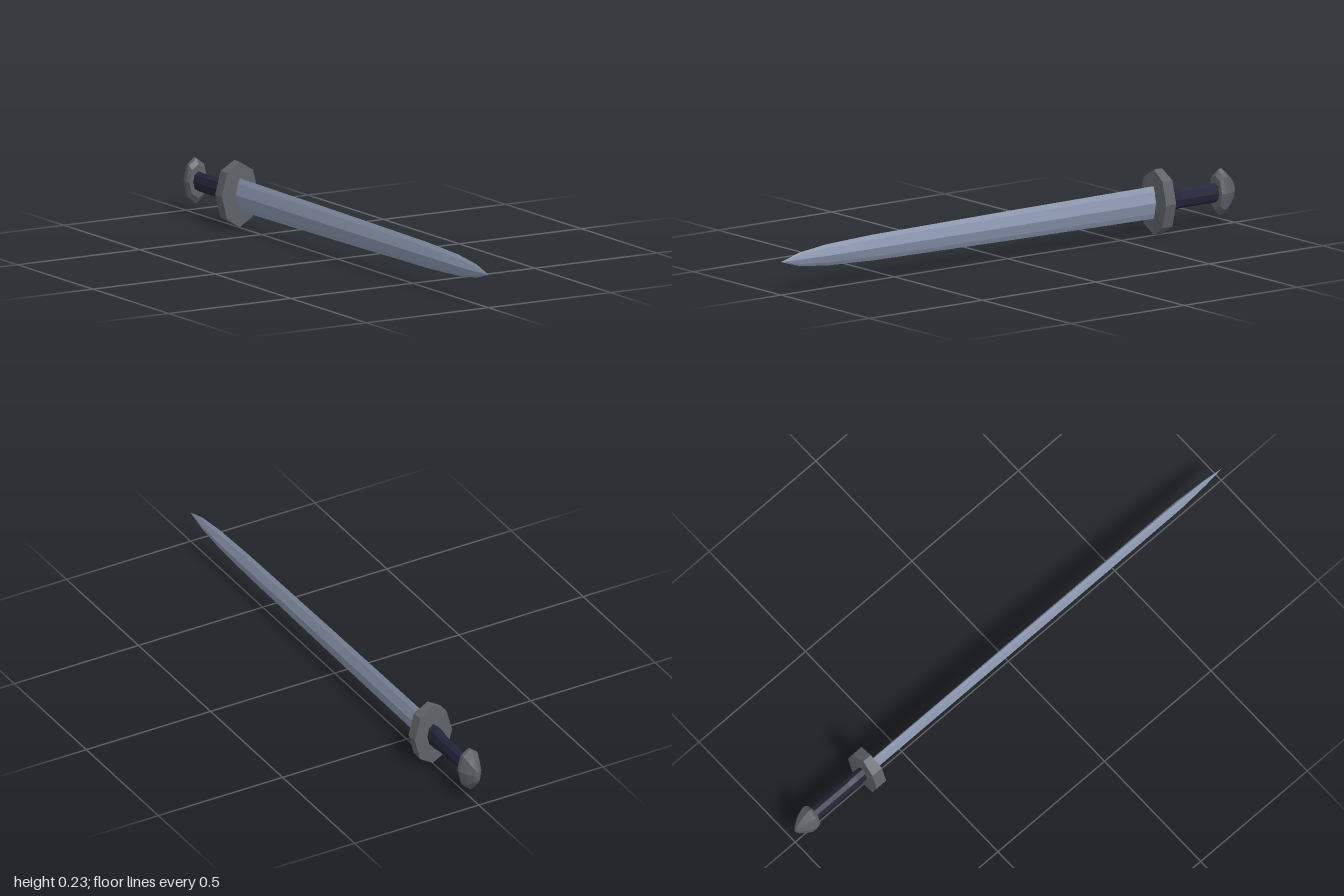
import * as THREE from 'three';

const CENTRE_Y = 0.117;

// Unit outlines, counter-clockwise seen from +z
const octagon = Array.from({ length: 8 }, (_, i) => [Math.cos(i * Math.PI / 4), Math.sin(i * Math.PI / 4)]);
const lens = [[1, 0], [0.45, 0.68], [0, 1], [-0.45, 0.68], [-1, 0], [-0.45, -0.68], [0, -1], [0.45, -0.68]];

// Lofts an outline through sections [z, halfWidth, halfHeight], in rising z, with closed ends
function loft(name, outline, sections, color) {
  const n = outline.length, positions = [], index = [];
  for (const [z, w, h] of sections) {
    for (const [x, y] of outline) positions.push(x * w, y * h, z);
  }
  for (let s = 0; s < sections.length - 1; s++) {
    for (let i = 0; i < n; i++) {
      const a = s * n + i, b = s * n + (i + 1) % n;
      index.push(a, b, b + n, a, b + n, a + n);
    }
  }
  const last = (sections.length - 1) * n, back = sections.length * n, front = back + 1;
  positions.push(0, 0, sections[0][0], 0, 0, sections[sections.length - 1][0]);
  for (let i = 0; i < n; i++) {
    const j = (i + 1) % n;
    index.push(back, j, i, front, last + i, last + j);
  }
  const geometry = new THREE.BufferGeometry();
  geometry.setAttribute('position', new THREE.Float32BufferAttribute(positions, 3));
  geometry.setIndex(index);
  geometry.computeVertexNormals();
  const mesh = new THREE.Mesh(geometry, new THREE.MeshStandardMaterial({ color, flatShading: true }));
  mesh.name = name;
  mesh.position.y = CENTRE_Y;
  return mesh;
}

export function createModel() {
  const group = new THREE.Group();
  group.name = 'sword';

  // Blade narrowing gently, then curving in to the point
  group.add(loft('blade', lens, [
    [-0.65, 0.018, 0.058], [0, 0.018, 0.053], [0.6, 0.017, 0.046],
    [0.8, 0.016, 0.038], [0.92, 0.009, 0.024], [1, 0.0005, 0.0005],
  ], 0x8c97b0));

  // Octagonal guard plate, slightly thinner at its top and bottom points
  const guard = loft('guard', octagon, [[-0.685, 0.075, 0.117], [-0.641, 0.075, 0.117]], 0x5f6267);
  const p = guard.geometry.attributes.position;
  for (let i = 0; i < p.count; i++) {
    if (Math.abs(p.getY(i)) > 0.1) p.setZ(i, -0.663 + (p.getZ(i) + 0.663) * 0.8);
  }
  guard.geometry.computeVertexNormals();
  group.add(guard);

  // Grip, flared where it meets the guard
  group.add(loft('grip', octagon, [
    [-0.93, 0.022, 0.035], [-0.755, 0.022, 0.035], [-0.72, 0.024, 0.043], [-0.68, 0.024, 0.044],
  ], 0x23263a));

  // Flattened domed pommel
  group.add(loft('pommel', octagon, [
    [-1, 0.003, 0.015], [-0.99, 0.014, 0.036], [-0.965, 0.031, 0.064],
    [-0.942, 0.041, 0.084], [-0.928, 0.043, 0.08], [-0.916, 0.038, 0.06],
  ], 0x5f6267));

  return group;
}
